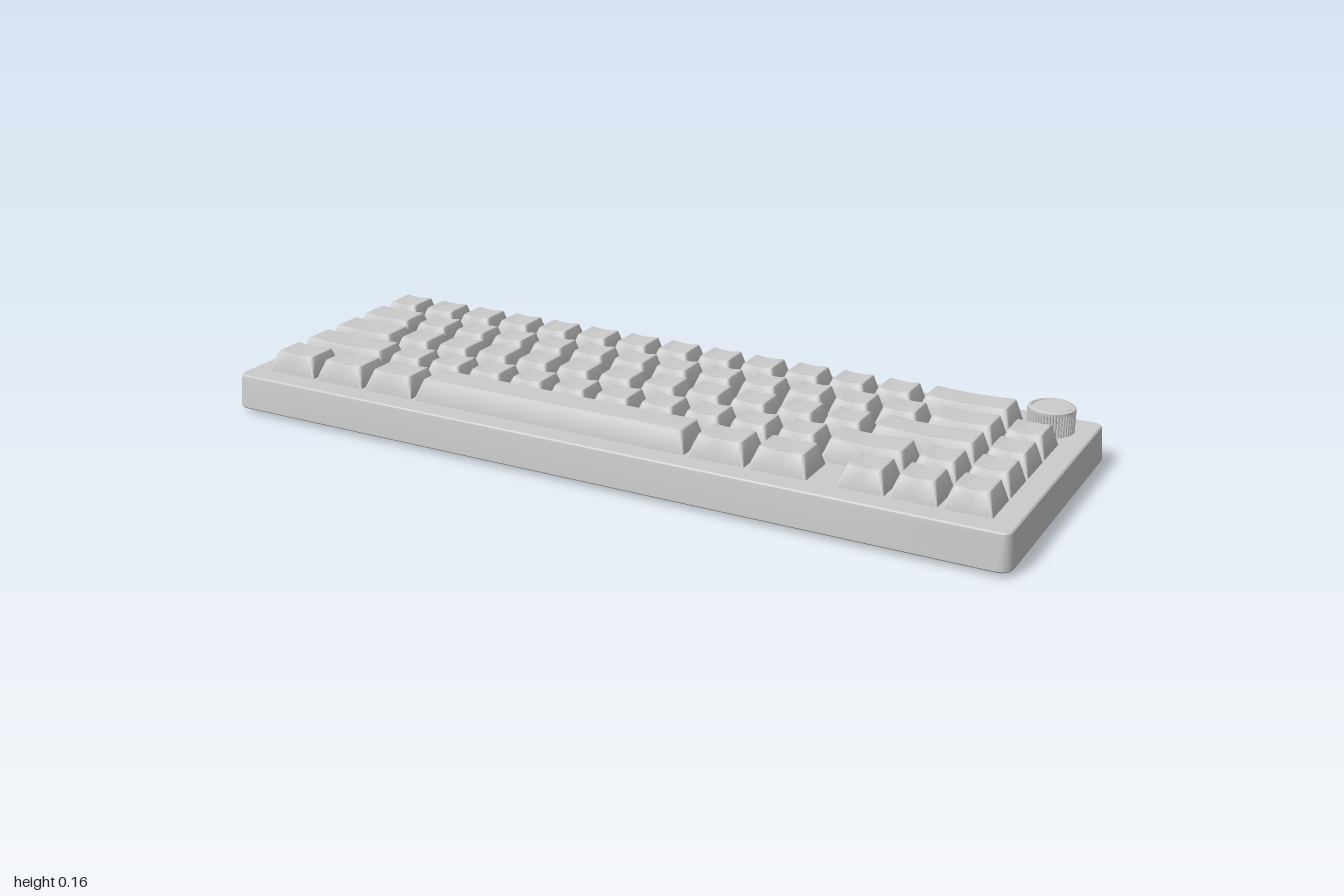
import * as THREE from 'three';
import { toCreasedNormals } from 'three/addons/utils/BufferGeometryUtils.js';

const U = 0.118;          // key pitch
const LEFT = -0.947;      // left edge of the key block
const DECK = 0.097;       // top of the case
const grey = new THREE.MeshStandardMaterial({ color: 0xcccccc });

// Points of a rounded rectangle (half sizes w, d), counterclockwise from above
function roundedRing(w, d, r) {
  const arc = 4, pts = [], corners = [[1, -1], [-1, -1], [-1, 1], [1, 1]];
  const arcs = corners.map(([sx, sz], c) => {
    const a = [];
    for (let i = 0; i <= arc; i++) {
      const t = (c + i / arc) * Math.PI / 2;
      a.push([sx * (w - r) + r * Math.cos(t), sz * (d - r) - r * Math.sin(t)]);
    }
    return a;
  });
  arcs.forEach((a, c) => {
    pts.push(...a);
    const p = a[arc], q = arcs[(c + 1) % 4][0];
    for (let i = 1; i < 5; i++) {
      pts.push([p[0] + (q[0] - p[0]) * i / 5, p[1] + (q[1] - p[1]) * i / 5]);
    }
  });
  return pts;
}

// Skin stacked rounded-rectangle sections; ends with w = 0 close the form
function loft(sections, crease = 0.6) {
  const rings = sections.map(({ w, d, r, y, z = 0, dish = 0, span = 1 }) =>
    roundedRing(w, d, r).map(([px, pz]) => [px, y - dish * Math.max(0, 1 - (px / span) ** 2), pz + z]));
  const pos = [];
  for (let k = 0; k + 1 < rings.length; k++) {
    const b = rings[k], t = rings[k + 1], n = b.length;
    for (let i = 0; i < n; i++) {
      const j = (i + 1) % n;
      if (sections[k].w > 0) pos.push(...b[i], ...b[j], ...t[j]);
      if (sections[k + 1].w > 0) pos.push(...b[i], ...t[j], ...t[i]);
    }
  }
  const g = new THREE.BufferGeometry();
  g.setAttribute('position', new THREE.Float32BufferAttribute(pos, 3));
  return toCreasedNormals(g, crease);
}

// Closed block from [inset, y] steps
function block(w, d, r, steps) {
  const s = steps.map(([inset, y]) => ({ w: w - inset, d: d - inset, r: Math.max(r - inset, 0.001), y }));
  const end = (y) => ({ w: 0, d: 0, r: 0, y });
  return loft([end(steps[0][1]), ...s, end(steps[steps.length - 1][1])]);
}

function add(parent, name, geometry, x = 0, y = 0, z = 0) {
  const m = new THREE.Mesh(geometry, grey);
  m.name = name;
  m.position.set(x, y, z);
  parent.add(m);
  return m;
}

// Tapered keycap; its front face leans more than its back face
function keycap(units) {
  const w = units * U / 2 - 0.004, d = 0.055, h = 0.05;
  const tw = w - 0.016, td = 0.0405, tz = -0.006;
  const dish = units > 3 ? 0 : 0.005;
  const top = (s, y, inset) => ({
    w: (tw - inset) * s, d: (td - inset) * s, r: 0.007 * s, y, z: tz, dish, span: tw,
  });
  return loft([
    { w, d, r: 0.005, y: -0.004 },
    { w, d, r: 0.005, y: 0 },
    { w: tw + 0.0015, d: td + 0.0015, r: 0.008, y: h - 0.006, z: tz + 0.0005 },
    top(1, h - 0.002, 0.0005),
    top(1, h, 0.004),
    top(0.75, h, 0.004),
    top(0.5, h, 0.004),
    top(0.25, h, 0.004),
    top(0, h, 0.004),
  ], 0.45);
}

function makeKnob() {
  const knob = new THREE.Group();
  knob.name = 'knob';
  // Knurled barrel
  const shape = new THREE.Shape(), ridges = 48;
  for (let i = 0; i < ridges; i++) {
    [[0, 0.0525], [0.3, 0.055], [0.7, 0.055]].forEach(([f, r], k) => {
      const a = (i + f) / ridges * Math.PI * 2;
      const p = [r * Math.cos(a), r * Math.sin(a)];
      if (i + k === 0) shape.moveTo(...p); else shape.lineTo(...p);
    });
  }
  const barrel = new THREE.ExtrudeGeometry(shape, { depth: 0.054, bevelEnabled: false });
  barrel.rotateX(-Math.PI / 2);
  add(knob, 'knobBarrel', barrel, 0, -0.001, 0);
  // Smooth cap with a raised rim
  const profile = [[0.0535, 0.05], [0.0545, 0.054], [0.054, 0.057], [0.051, 0.059], [0.046, 0.059],
    [0.045, 0.0565], [0.043, 0.0565], [0.042, 0.058], [0, 0.058]];
  const cap = new THREE.LatheGeometry(profile.map((p) => new THREE.Vector2(...p)), 64);
  add(knob, 'knobCap', toCreasedNormals(cap, 0.6));
  return knob;
}

function frame(w, d, hw, hd, depth) {
  const rect = (P, a, b) => new P(roundedRing(a, b, 0.01).map((p) => new THREE.Vector2(...p)));
  const s = rect(THREE.Shape, w, d);
  s.holes.push(rect(THREE.Path, hw, hd));
  return new THREE.ExtrudeGeometry(s, { depth, bevelEnabled: false }).rotateX(-Math.PI / 2);
}

export function createModel() {
  const model = new THREE.Group();
  model.name = 'keyboard';

  // Case with slightly leaning walls and softened edges
  add(model, 'case', block(1, 0.355, 0.03, [
    [0.002, 0.012], [0, 0.015], [0.001, 0.03], [0.006, 0.085], [0.0075, 0.094], [0.011, DECK],
  ]));

  // Key rows from back to front: widths in key units, negative for a gap
  const ones = (n) => Array(n).fill(1);
  const rows = [
    [...ones(13), 2],
    [1.5, ...ones(12), 1.5, 1],
    [1.75, ...ones(11), 2.25, 1],
    [2.25, ...ones(10), 1.75, 1, 1],
    [1.25, 1.25, 1.25, 6.25, 1.25, 1.25, -0.5, 1, 1, 1],
  ];
  const caps = {};
  rows.forEach((row, i) => {
    const group = new THREE.Group();
    group.name = `keyRow${i + 1}`;
    let x = LEFT;
    for (const units of row) {
      const width = Math.abs(units) * U;
      if (units > 0) {
        caps[units] ??= keycap(units);
        add(group, units > 3 ? 'spaceBar' : 'key', caps[units], x + width / 2, DECK, (i - 2) * 0.1175);
      }
      x += width;
    }
    model.add(group);
  });

  // Rotary knob in the back corner
  const knob = makeKnob();
  knob.position.set(0.894, DECK, -0.25);
  model.add(knob);

  // Underside: rubber pads and folding feet on both sides
  const backPad = block(0.1, 0.013, 0.01, [[0.003, 0], [0, 0.003], [0, 0.014]]);
  const frontPad = block(0.1, 0.009, 0.008, [[0.002, 0.008], [0, 0.01], [0, 0.014]]);
  const footFrame = frame(0.1, 0.063, 0.085, 0.048, 0.005);
  const footFlap = block(0.072, 0.038, 0.01, [[0.003, 0.0085], [0, 0.0105], [0, 0.014]]);
  for (const side of [-1, 1]) {
    const x = side * 0.88;
    add(model, 'backPad', backPad, x, 0, -0.335);
    add(model, 'frontPad', frontPad, x, 0, 0.328);
    add(model, 'footFrame', footFrame, x, 0.008, -0.234);
    add(model, 'footFlap', footFlap, x, 0, -0.234);
  }
  return model;
}
